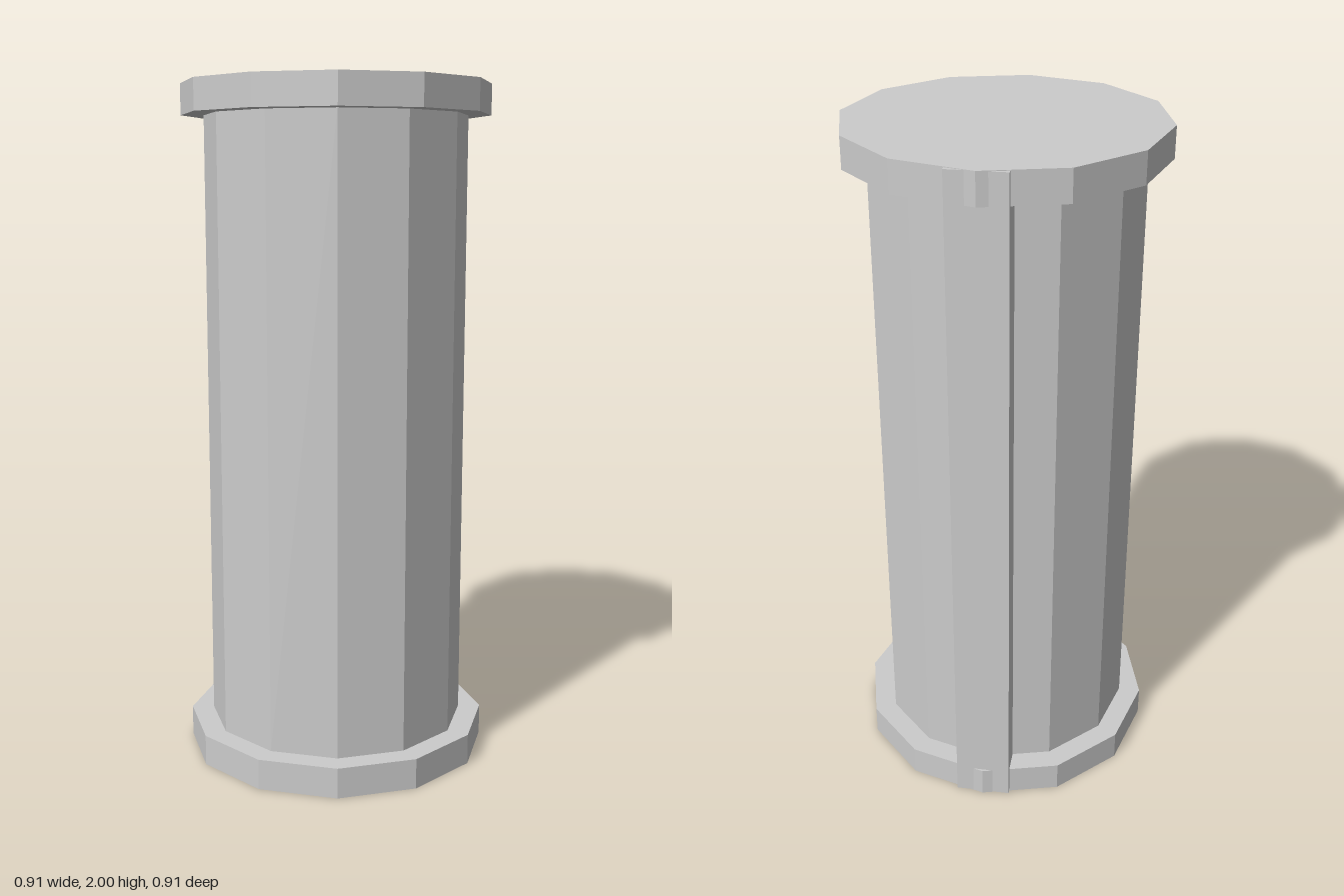
import * as THREE from 'three';

const SIDES = 12;
const HEIGHT = 2;
const CAP_HEIGHT = 0.09;

export function createModel() {
  const model = new THREE.Group();
  model.name = 'cappedColumn';
  const grey = new THREE.MeshStandardMaterial({ color: 0xcccccc, flatShading: true });
  grey.name = 'light grey';

  const add = (name, geometry, y, z = 0) => {
    const mesh = new THREE.Mesh(geometry, grey);
    mesh.name = name;
    mesh.position.set(0, y, z);
    model.add(mesh);
  };

  // Twelve-sided shaft between the two caps
  const shaftHeight = HEIGHT - 2 * CAP_HEIGHT;
  add('shaft', new THREE.CylinderGeometry(0.386, 0.386, shaftHeight, SIDES), HEIGHT / 2);

  // Wider caps at both ends
  const cap = new THREE.CylinderGeometry(0.453, 0.453, CAP_HEIGHT, SIDES);
  add('bottomCap', cap, CAP_HEIGHT / 2);
  add('topCap', cap, HEIGHT - CAP_HEIGHT / 2);

  // Full-height rail down the back, crossing the cap edges
  add('backRail', new THREE.BoxGeometry(0.162, HEIGHT - 0.004, 0.095), HEIGHT / 2, -0.3975);

  return model;
}
